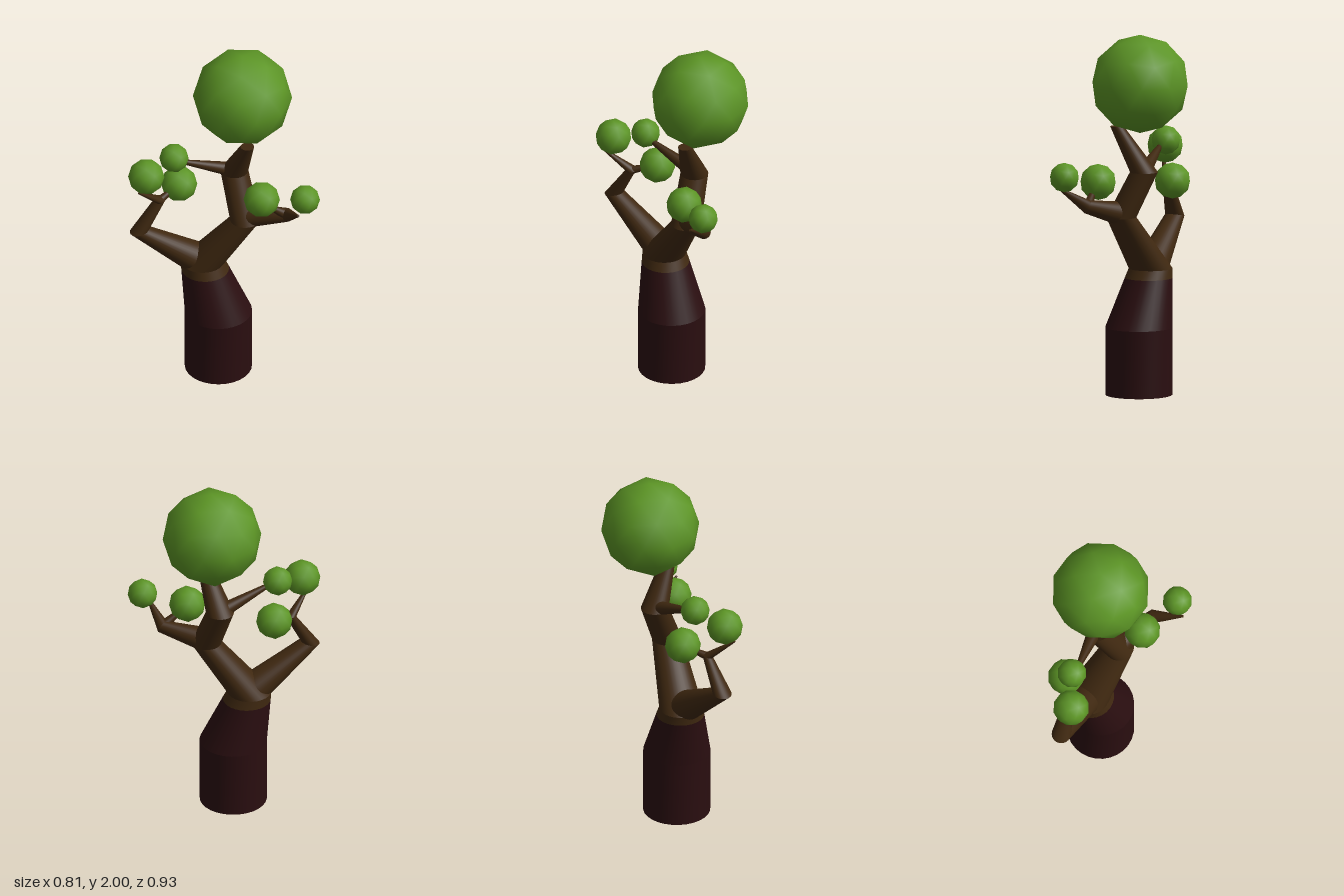
import * as THREE from 'three';

const SIDES = 28;
const UP = new THREE.Vector3(0, 1, 0);

// Tapered limb through points [x, y, z, radius]; rings are mitred at the bends.
// With level = true every ring stays horizontal.
function limb(points, level = false) {
  const centres = points.map(p => new THREE.Vector3(p[0], p[1], p[2]));
  const last = points.length - 1;
  const dir = i => centres[i + 1].clone().sub(centres[i]).normalize();
  const turn = new THREE.Quaternion();
  const rings = [];
  let normal = UP.clone();
  for (let i = 0; i <= last; i++) {
    let next = UP.clone();
    if (!level) {
      if (i === 0) next = dir(0);
      else if (i === last) next = dir(last - 1);
      else next = dir(i - 1).add(dir(i)).normalize();
    }
    turn.premultiply(new THREE.Quaternion().setFromUnitVectors(normal, next));
    normal = next;
    const ring = [];
    for (let j = 0; j < SIDES; j++) {
      const a = (j / SIDES) * Math.PI * 2;
      ring.push(new THREE.Vector3(Math.cos(a), 0, Math.sin(a))
        .multiplyScalar(points[i][3]).applyQuaternion(turn).add(centres[i]));
    }
    rings.push(ring);
  }

  const position = [], index = [];
  const add = list => {
    const start = position.length / 3;
    list.forEach(v => position.push(v.x, v.y, v.z));
    return start;
  };
  // each segment has its own rings so the bends stay crisp
  for (let i = 0; i < last; i++) {
    const lo = add(rings[i]), hi = add(rings[i + 1]);
    for (let j = 0; j < SIDES; j++) {
      const k = (j + 1) % SIDES;
      index.push(lo + j, hi + j, lo + k, lo + k, hi + j, hi + k);
    }
  }
  // end caps
  [0, last].forEach(i => {
    const c = add([centres[i]]), r = add(rings[i]);
    for (let j = 0; j < SIDES; j++) {
      const k = (j + 1) % SIDES;
      if (i === 0) index.push(c, r + j, r + k);
      else index.push(c, r + k, r + j);
    }
  });
  const geometry = new THREE.BufferGeometry();
  geometry.setAttribute('position', new THREE.Float32BufferAttribute(position, 3));
  geometry.setIndex(index);
  geometry.computeVertexNormals();
  return geometry;
}

// Faceted ball standing on one of its vertices
function ball(radius) {
  return new THREE.IcosahedronGeometry(radius, 1)
    .rotateZ(Math.PI / 2 - Math.atan((1 + Math.sqrt(5)) / 2))
    .rotateY(Math.PI);
}

function createModel() {
  const material = (name, color) => {
    const m = new THREE.MeshStandardMaterial({ color });
    m.name = name;
    return m;
  };
  const darkBark = material('darkBark', 0x2a0e10);
  const bark = material('bark', 0x3f2810);
  const leaf = material('leaf', 0x5c9525);

  const tree = new THREE.Group();
  tree.name = 'tree';
  const add = (name, geometry, mat) => {
    const mesh = new THREE.Mesh(geometry, mat);
    mesh.name = name;
    tree.add(mesh);
  };

  // trunk
  add('trunkBase', limb([
    [-0.008, 0, -0.102, 0.183], [-0.008, 0.37, -0.102, 0.183], [-0.038, 0.635, -0.17, 0.13],
  ], true), darkBark);
  add('trunkCollar', limb([
    [-0.038, 0.635, -0.17, 0.13], [-0.044, 0.685, -0.183, 0.119],
  ], true), bark);
  add('upperTrunk', limb([
    [-0.044, 0.685, -0.183, 0.119], [0.065, 0.99, 0.025, 0.082],
    [0.115, 1.24, -0.088, 0.076], [0.057, 1.49, 0.047, 0.037],
  ], true), bark);

  // branches and twigs
  const branches = {
    backBranch: [[-0.06, 0.7, -0.2, 0.09], [-0.305, 0.93, -0.415, 0.053],
      [-0.215, 1.115, -0.345, 0.03], [-0.368, 1.235, -0.37, 0.006]],
    backTwig: [[-0.22, 1.11, -0.345, 0.024], [-0.1, 1.145, -0.325, 0.01]],
    upperTwig: [[0.1, 1.25, -0.1, 0.04], [-0.12, 1.35, -0.27, 0.012]],
    frontBranch: [[0.07, 1.01, 0.02, 0.068], [0.15, 1.07, 0.25, 0.038], [0.068, 1.17, 0.39, 0.006]],
    frontTwig: [[0.15, 1.07, 0.25, 0.03], [0.06, 1.15, 0.18, 0.012]],
  };
  for (const [name, points] of Object.entries(branches)) add(name, limb(points), bark);

  // foliage: x, y, z, radius
  const foliage = {
    crownFoliage: [0.145, 1.73, -0.055, 0.27],
    backOuterFoliage: [-0.312, 1.317, -0.362, 0.099],
    backInnerFoliage: [-0.075, 1.155, -0.32, 0.099],
    upperFoliage: [-0.14, 1.37, -0.305, 0.08],
    frontInnerFoliage: [0.048, 1.188, 0.153, 0.099],
    frontOuterFoliage: [0.14, 1.236, 0.38, 0.081],
  };
  for (const [name, [x, y, z, r]] of Object.entries(foliage)) {
    add(name, ball(r).translate(x, y, z), leaf);
  }
  return tree;
}

export { createModel };
